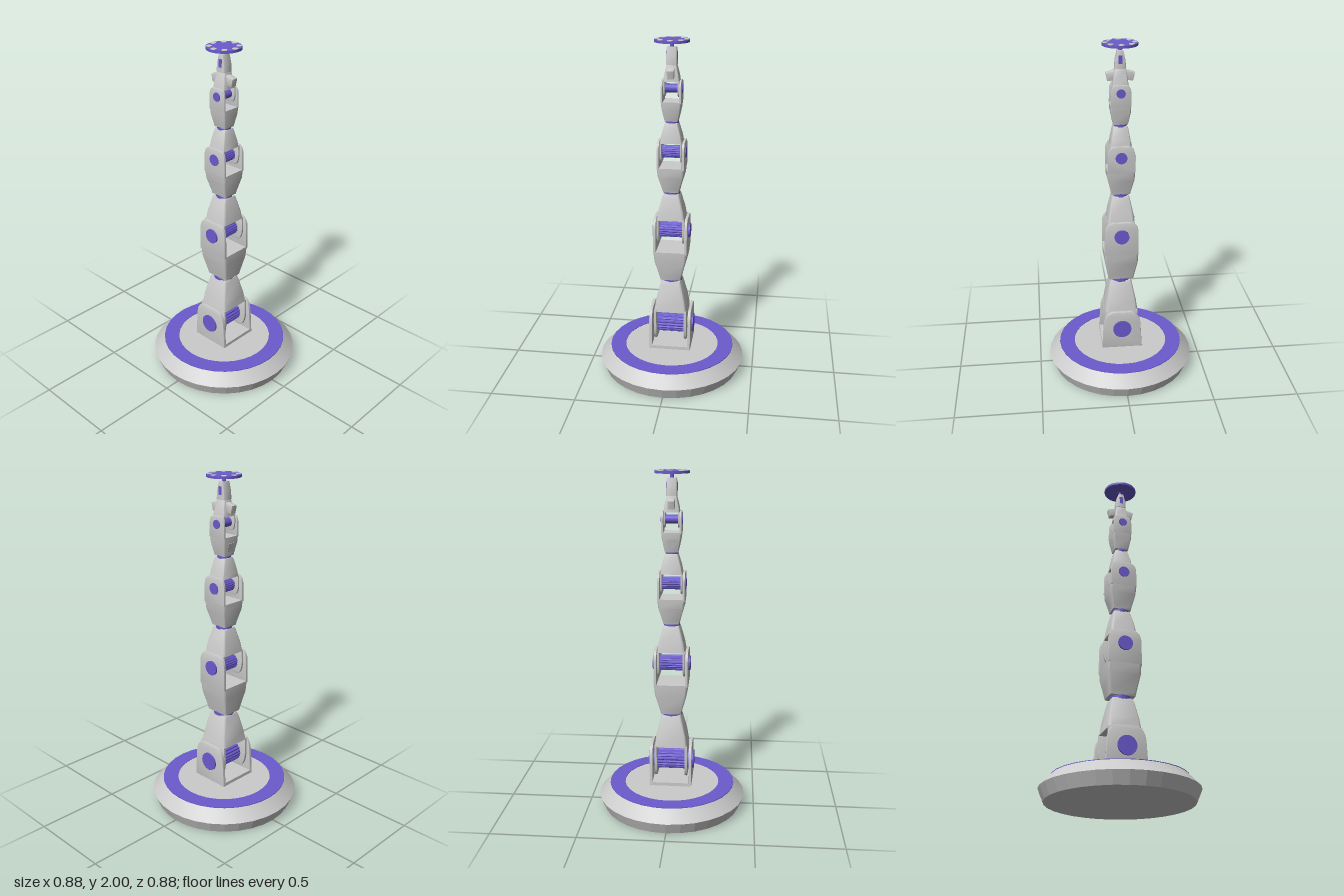
import * as THREE from 'three';
import { toCreasedNormals } from 'three/addons/utils/BufferGeometryUtils.js';

const grey = new THREE.MeshStandardMaterial({ color: 0xcccccc });
const purple = new THREE.MeshStandardMaterial({ color: 0x6a5acd });

function add(parent, name, geometry, material = grey, x = 0, y = 0, z = 0) {
  const mesh = new THREE.Mesh(geometry, material);
  mesh.name = name;
  mesh.position.set(x, y, z);
  parent.add(mesh);
  return mesh;
}

// Skin over rounded rectangles; each row is [y, half width x, half depth z]
function loft(rows, round = 0.2) {
  const pos = [], index = [], perCorner = 5, n = perCorner * 4;
  for (const [y, hx, hz] of rows) {
    const r = Math.min(hx, hz) * round;
    for (let c = 0; c < 4; c++) {
      const sx = c === 0 || c === 3 ? 1 : -1, sz = c < 2 ? 1 : -1;
      for (let k = 0; k < perCorner; k++) {
        const a = (c + k / (perCorner - 1)) * Math.PI / 2;
        pos.push(sx * (hx - r) + r * Math.cos(a), y, sz * (hz - r) + r * Math.sin(a));
      }
    }
  }
  for (let i = 0; i < rows.length - 1; i++)
    for (let j = 0; j < n; j++) {
      const a = i * n + j, b = i * n + (j + 1) % n;
      index.push(a, a + n, b, b, a + n, b + n);
    }
  const top = (rows.length - 1) * n;
  for (let j = 1; j < n - 1; j++) index.push(0, j, j + 1, top, top + j + 1, top + j);
  const g = new THREE.BufferGeometry();
  g.setAttribute('position', new THREE.Float32BufferAttribute(pos, 3));
  g.setIndex(index);
  return toCreasedNormals(g, 0.6);
}

// Extrusion along z, centred, with a soft edge
function slab(shape, depth, bevel) {
  const g = new THREE.ExtrudeGeometry(shape, {
    depth: depth - 2 * bevel, curveSegments: 8, bevelEnabled: bevel > 0,
    bevelThickness: bevel, bevelSize: bevel, bevelOffset: -bevel, bevelSegments: 2,
  });
  g.translate(0, 0, -depth / 2 + bevel);
  return toCreasedNormals(g, 0.6);
}

// Plate from a straight edge at y0 to a rounded end at yEnd (up or down)
function plate(y0, w0, y1, w1, yEnd, t) {
  const s = new THREE.Shape();
  s.moveTo(-w0, y0);
  s.lineTo(-w1, y1);
  s.quadraticCurveTo(-w1 * 0.94, yEnd, -w1 * 0.4, yEnd);
  s.lineTo(w1 * 0.4, yEnd);
  s.quadraticCurveTo(w1 * 0.94, yEnd, w1, y1);
  s.lineTo(w0, y0);
  s.closePath();
  return slab(s, t, t * 0.2);
}

function platePair(parent, name, geometry, z) {
  for (const side of [1, -1]) add(parent, name, geometry, grey, 0, 0, side * z);
}

// Ribbed motor drum on the z axis with a flat pin cap on each side
function pivot(parent, y, drumR, drumHalf, pinR, pinHalf) {
  const s = new THREE.Shape(), teeth = 20;
  for (let i = 0; i < teeth * 4; i++) {
    const a = i / (teeth * 4) * Math.PI * 2, r = i % 4 < 2 ? drumR : drumR * 0.92;
    s[i ? 'lineTo' : 'moveTo'](r * Math.cos(a), r * Math.sin(a));
  }
  add(parent, 'ribbedDrum', slab(s, drumHalf * 2, 0), purple, 0, y, 0);
  const pin = new THREE.CylinderGeometry(pinR, pinR, pinHalf * 2, 32).rotateX(Math.PI / 2);
  add(parent, 'pivotPin', pin, purple, 0, y, 0);
}

function disc(parent, name, r, y0, y1, material = purple) {
  return add(parent, name, new THREE.CylinderGeometry(r, r, y1 - y0, 32), material, 0, (y0 + y1) / 2, 0);
}

// Lower link: fork around the pivot, body tapering up to a swivel
function lowerLink(parent, { bottom, pin, gap, top, w, d, w2, d2, t }) {
  const g = new THREE.Group();
  g.name = 'lowerLink';
  platePair(g, 'forkArm', plate(gap + t * 0.5, w * 0.97, pin, w, bottom, t), d - t / 2);
  const h = top - gap, mid = (a, b, k) => a + (b - a) * k;
  add(g, 'taperedBody', loft([
    [gap, w * 0.97, d],
    [gap + h * 0.35, mid(w, w2, 0.32), mid(d, d2, 0.25)],
    [gap + h * 0.9, mid(w, w2, 0.9), mid(d, d2, 0.9)],
    [top, w2 * 0.95, d2 * 0.95],
  ]));
  parent.add(g);
}

// Upper link: body widening from the swivel, then two cheeks beside the pivot
function upperLink(parent, { bottom, floor, shoulder, top, w, d, w0, d0, t }) {
  const g = new THREE.Group();
  g.name = 'upperLink';
  const h = floor - bottom;
  add(g, 'flaredBody', loft([
    [bottom, w0, d0],
    [bottom + h * 0.12, w0 * 1.06, d0 * 1.08],
    [bottom + h * 0.65, w * 0.97, d * 0.92],
    [floor, w, d],
  ], 0.15));
  platePair(g, 'cheekPlate', plate(floor - t * 0.5, w, shoulder, w * 0.98, top, t), d - t / 2);
  parent.add(g);
}

export function createModel() {
  const model = new THREE.Group();
  model.name = 'roboticArm';

  // Round foot
  const foot = [[0, 0], [0.41, 0], [0.44, 0.07], [0.375, 0.138], [0, 0.138]];
  add(model, 'foot', toCreasedNormals(
    new THREE.LatheGeometry(foot.map(p => new THREE.Vector2(...p)), 32), 0.15));
  const ring = [[0.285, 0.136], [0.376, 0.136], [0.376, 0.141], [0.285, 0.141], [0.285, 0.136]];
  add(model, 'footRing', toCreasedNormals(
    new THREE.LatheGeometry(ring.map(p => new THREE.Vector2(...p)), 32), 0.5), purple);
  disc(model, 'baseSwivel', 0.06, 0.135, 0.16);

  // Shoulder bracket
  const bracket = new THREE.Group();
  bracket.name = 'shoulderBracket';
  add(bracket, 'bracketFloor', new THREE.BoxGeometry(0.24, 0.02, 0.24), grey, 0, 0.165, 0);
  platePair(bracket, 'bracketCheek', plate(0.155, 0.122, 0.31, 0.112, 0.4, 0.018), 0.116);
  model.add(bracket);

  // Three pivots: [y, drum radius, drum half length, pin radius, pin half length]
  [
    [0.285, 0.062, 0.09, 0.055, 0.134],
    [0.892, 0.046, 0.073, 0.043, 0.11],
    [1.367, 0.036, 0.06, 0.033, 0.083],
    [1.73, 0.025, 0.046, 0.025, 0.061],
  ].forEach(p => pivot(model, ...p));

  // Arm links and the swivels between them
  lowerLink(model, { bottom: 0.195, pin: 0.3, gap: 0.39, top: 0.578, w: 0.1, d: 0.098, w2: 0.063, d2: 0.058, t: 0.016 });
  disc(model, 'swivel', 0.061, 0.574, 0.597);
  upperLink(model, { bottom: 0.594, floor: 0.78, shoulder: 0.92, top: 0.98, w: 0.1, d: 0.1, w0: 0.074, d0: 0.06, t: 0.017 });
  lowerLink(model, { bottom: 0.82, pin: 0.9, gap: 0.97, top: 1.122, w: 0.08, d: 0.081, w2: 0.05, d2: 0.046, t: 0.013 });
  disc(model, 'swivel', 0.047, 1.118, 1.139);
  upperLink(model, { bottom: 1.136, floor: 1.285, shoulder: 1.385, top: 1.435, w: 0.079, d: 0.079, w0: 0.054, d0: 0.046, t: 0.014 });
  lowerLink(model, { bottom: 1.31, pin: 1.37, gap: 1.425, top: 1.538, w: 0.06, d: 0.063, w2: 0.04, d2: 0.036, t: 0.01 });
  disc(model, 'swivel', 0.038, 1.534, 1.552);
  upperLink(model, { bottom: 1.549, floor: 1.66, shoulder: 1.735, top: 1.777, w: 0.057, d: 0.057, w0: 0.041, d0: 0.037, t: 0.011 });
  lowerLink(model, { bottom: 1.685, pin: 1.73, gap: 1.77, top: 1.862, w: 0.044, d: 0.045, w2: 0.03, d2: 0.027, t: 0.009 });

  // Side access panels following the flare of the upper links
  for (const [y, x, h, w, tilt] of [[1.2, -0.064, 0.07, 0.05, 0.26], [1.6, -0.049, 0.05, 0.04, 0.22]])
    add(model, 'accessPanel', new THREE.BoxGeometry(0.006, h, w), grey, x, y, 0).rotation.z = tilt;

  // Wrist with a lug on each side
  for (const side of [1, -1]) {
    const s = new THREE.Shape();
    [[0.02, 1.80], [0.07, 1.79], [0.08, 1.835], [0.045, 1.845], [0.02, 1.85]]
      .forEach(([x, y], i) => s[i ? 'lineTo' : 'moveTo'](x * side, y));
    add(model, 'wristLug', slab(s, 0.038, 0.003));
  }
  add(model, 'wristBlock', loft([
    [1.86, 0.03, 0.03], [1.9, 0.028, 0.03], [1.945, 0.018, 0.028], [1.958, 0.015, 0.026],
  ]));
  add(model, 'wristPin', new THREE.BoxGeometry(0.022, 0.045, 0.064), purple, 0, 1.91, 0);

  // Tool flange
  disc(model, 'flangeShaft', 0.011, 1.94, 1.99);
  disc(model, 'flangeDisc', 0.098, 1.983, 1.997);
  for (let i = 0; i < 8; i++) {
    const a = i * Math.PI / 4;
    add(model, 'flangeBolt', new THREE.CylinderGeometry(0.016, 0.016, 0.012, 16), grey,
      0.08 * Math.cos(a), 1.994, 0.08 * Math.sin(a));
  }
  return model;
}
